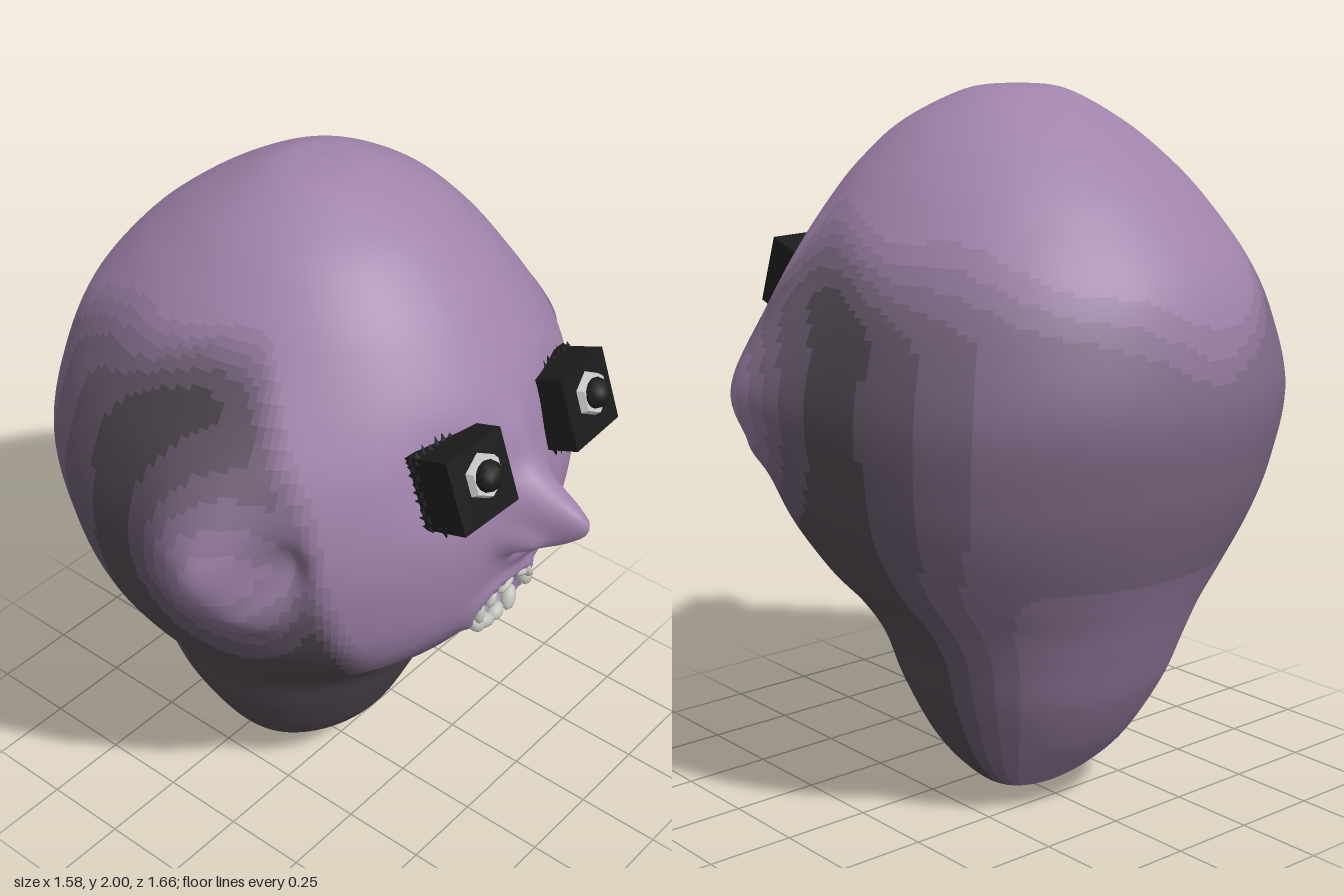
import * as THREE from 'three';

// Head profile from crown to neck tip: y, half width, front z, back z
const PROFILE = [
  [2.0, 0, -0.07, -0.07], [1.985, 0.14, 0.06, -0.2], [1.9, 0.3, 0.24, -0.36],
  [1.8, 0.41, 0.36, -0.5], [1.7, 0.49, 0.45, -0.61], [1.55, 0.59, 0.55, -0.73],
  [1.4, 0.67, 0.605, -0.79], [1.2, 0.72, 0.63, -0.83], [1.0, 0.7, 0.605, -0.79],
  [0.85, 0.655, 0.555, -0.735], [0.7, 0.565, 0.455, -0.665], [0.6, 0.485, 0.355, -0.62],
  [0.5, 0.43, 0.27, -0.58], [0.36, 0.38, 0.21, -0.52], [0.2, 0.295, 0.13, -0.42],
  [0.1, 0.215, 0.03, -0.32], [0.03, 0.12, -0.06, -0.22], [0, 0, -0.13, -0.13],
];
const ROWS = 170, COLS = 200;
const bell = (u, v, su, sv) => Math.exp(-((u / su) ** 2) - (v / sv) ** 2);
const step = THREE.MathUtils.smoothstep;

const SKIN = new THREE.Color(0xa083ab), STUBBLE = new THREE.Color(0x4a434a);
const TONES = 7;

function mat(color) {
  return new THREE.MeshStandardMaterial({ color });
}

// Moves a point of the plain skull to form nose, ears, mouth and eye sockets
function sculpt(p, front) {
  const { x, y, z } = p, ax = Math.abs(x);
  if (front > 0) {
    p.z += 0.2 * bell(x, y - 1.25, 0.068, y > 1.25 ? 0.08 : 0.13);
    p.z += 0.05 * bell(ax - 0.08, y - 1.17, 0.035, 0.045);
    p.z -= 0.04 * bell(ax - 0.045, y - 1.12, 0.022, 0.02);
    p.z += 0.02 * bell(x, y - 1.42, 0.05, 0.1);
    p.z -= 0.025 * bell(ax - 0.23, y - 1.4, 0.1, 0.1);
    // Raised lips around a hollow
    const r = Math.hypot((x + 0.01) / 0.115, (y - 0.89) / 0.095);
    p.z += 0.018 * Math.exp(-(((r - 1.05) / 0.25) ** 2));
    p.z -= 0.07 * (1 - step(r, 0.5, 1));
  }
  // Ears: a swelling with a rim and a hollow facing forward
  const side = Math.sign(x) * step(ax, 0.3, 0.5);
  let e = 0.09 * bell(y - 1.25, z - 0.12, 0.23, 0.17);
  e += 0.035 * bell(y - 1.2, z - 0.18, 0.14, 0.07);
  e += 0.03 * bell(y - 1.04, z - 0.25, 0.06, 0.07);
  e -= 0.075 * bell(y - 1.2, z - 0.3, 0.085, 0.05);
  p.x += side * e;
  return p;
}

// Amount of stubble, 0 to 1, at height y and angle a from the front
function stubble(p, a) {
  const t = Math.abs(a);
  const wobble = 0.05 * Math.sin(p.x * 9 + p.y * 4) + 0.04 * Math.sin(p.z * 13 - p.y * 7);
  const hairline = 0.72 + 0.95 * step(t, 0.5, 1.2) - 0.2 * step(t, 1.8, 2.8) + wobble;
  let s = 1 - step(p.y, hairline - 0.2, hairline + 0.1);
  s *= 1 - 0.45 * step(t, 1.6, 2.4);
  s *= 1 - 0.35 * step(t, 1.9, 2.6) * (1 - step(p.y, 0.6, 1.0));
  s *= 1 - 0.85 * bell(p.y - 1.2, p.z - 0.2, 0.25, 0.2) * step(Math.abs(p.x), 0.5, 0.6);
  return s;
}

function createHead() {
  const spline = new THREE.CubicInterpolant(PROFILE.map((_, i) => i), PROFILE.flat(), 4);
  const positions = [], shade = [], index = [];
  const tones = Array.from({ length: TONES }, () => []);
  for (let i = 0; i <= ROWS; i++) {
    const [y, w, zf, zb] = spline.evaluate((i / ROWS) * (PROFILE.length - 1));
    for (let j = 0; j < COLS; j++) {
      const u = (j / COLS) * 2 * Math.PI - Math.PI;
      const a = u - 0.45 * Math.sin(u); // finer columns across the face
      const p = new THREE.Vector3(w * Math.sin(a), y, (zf + zb) / 2 + ((zf - zb) / 2) * Math.cos(a));
      shade.push(stubble(p, a));
      positions.push(...sculpt(p, Math.cos(a)));
    }
  }
  for (let i = 0; i < ROWS; i++) {
    for (let j = 0; j < COLS; j++) {
      const k = (j + 1) % COLS;
      const A = i * COLS + j, B = A + COLS, C = (i + 1) * COLS + k, D = i * COLS + k;
      const s = (shade[A] + shade[B] + shade[C] + shade[D]) / 4;
      const quad = [A, B, C, A, C, D];
      index.push(...quad);
      tones[Math.round(s * (TONES - 1))].push(...quad);
    }
  }
  const whole = new THREE.BufferGeometry();
  whole.setAttribute('position', new THREE.Float32BufferAttribute(positions, 3));
  whole.setIndex(index);
  whole.computeVertexNormals();

  // One mesh per skin tone, sharing points and normals so the surface stays smooth
  const head = new THREE.Group();
  head.name = 'head';
  tones.forEach((faces, n) => {
    if (!faces.length) return;
    const g = new THREE.BufferGeometry();
    g.setAttribute('position', whole.attributes.position);
    g.setAttribute('normal', whole.attributes.normal);
    g.setIndex(faces);
    const m = new THREE.Mesh(g, mat(SKIN.clone().lerp(STUBBLE, n / (TONES - 1))));
    m.name = n === 0 ? 'bareSkin' : `stubbleTone${n}`;
    head.add(m);
  });
  return head;
}

function createEye(side) {
  const eye = new THREE.Group();
  eye.name = side > 0 ? 'leftEye' : 'rightEye';
  const black = mat(0x1c1b1c);
  const add = (geo, m, name, x, y, z) => {
    const mesh = new THREE.Mesh(geo, m);
    mesh.name = name;
    mesh.position.set(x, y, z);
    eye.add(mesh);
    return mesh;
  };
  add(new THREE.BoxGeometry(0.205, 0.205, 0.135), black, 'eyeBlock', 0, 0, 0);
  // Ragged fringe along the top, bottom and outer edges
  for (let i = 0; i < 9; i++) {
    const o = -0.095 + i * 0.024, len = 0.035 + 0.015 * Math.sin(i * 2.3);
    const tuft = new THREE.ConeGeometry(0.015, len, 4);
    add(tuft, black, 'tuft', o, 0.105, -0.035);
    add(tuft, black, 'tuft', o, -0.105, -0.01).rotation.z = Math.PI;
    add(tuft, black, 'tuft', o, 0.085, -0.075).rotation.x = -Math.PI / 2;
    add(tuft, black, 'tuft', side * 0.1, o, -0.065).rotation.x = -Math.PI / 2;
  }
  const white = mat(0xc9c9c6);
  white.flatShading = true;
  const ring = add(new THREE.CylinderGeometry(0.055, 0.068, 0.03, 6), white, 'eyeWhite', 0.005, 0.015, 0.072);
  ring.rotation.x = Math.PI / 2;
  const pupil = add(new THREE.IcosahedronGeometry(0.042, 1), black, 'pupil', 0, 0.02, 0.092);
  pupil.scale.z = 0.9;
  eye.position.set(side * 0.228, 1.425, 0.59);
  eye.rotation.set(-0.35, side * 0.06, 0);
  return eye;
}

// Crooked teeth set around the lips
function createTeeth() {
  const teeth = new THREE.Group();
  teeth.name = 'teeth';
  const white = mat(0xc4c4be);
  const angles = [0.15, 0.75, 1.3, 1.85, 2.4, 2.95, 3.95, 4.45, 4.95, 5.5];
  angles.forEach((t, i) => {
    const lower = t > Math.PI || t < 0.3;
    const x = -0.01 + 0.105 * Math.cos(t), y = 0.89 + 0.09 * Math.sin(t);
    const tooth = new THREE.Mesh(new THREE.SphereGeometry(1, 10, 8), white);
    tooth.name = 'tooth';
    tooth.scale.set(0.035 + 0.005 * Math.sin(i * 3), lower ? 0.022 : 0.014, 0.022);
    tooth.position.set(x, y, 0.545 + (y - 0.8) * 0.36 - 0.5 * x * x);
    tooth.rotation.set(-0.3, 0, t + Math.PI / 2 + 0.3 * Math.sin(i * 5));
    teeth.add(tooth);
  });
  return teeth;
}

export function createModel() {
  const model = new THREE.Group();
  model.name = 'headModel';
  model.add(createHead(), createEye(1), createEye(-1), createTeeth());
  return model;
}
